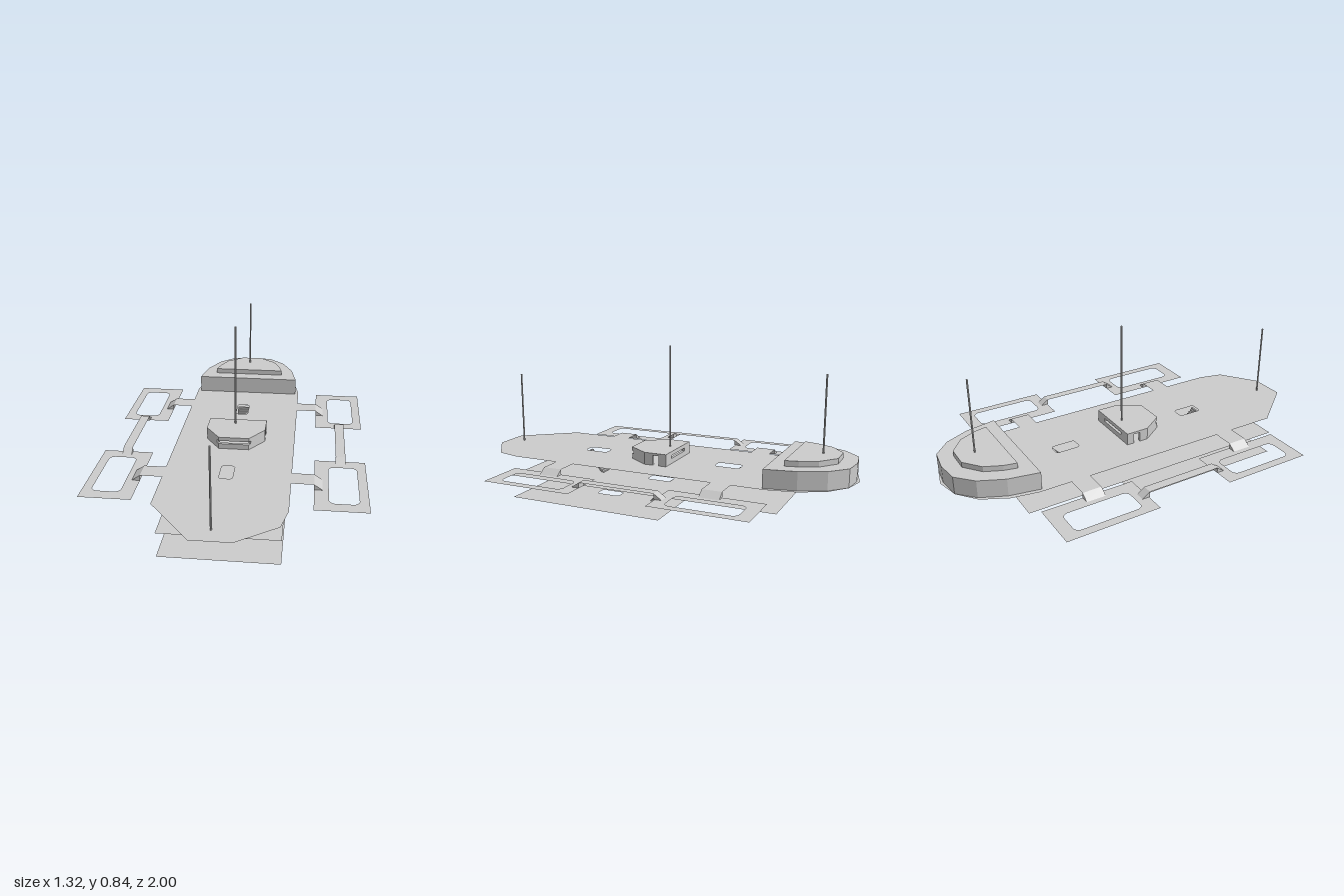
import * as THREE from 'three';

const DECK = 0.247, MID = 0.13, LOW = 0.007, PAD = 0.22;

export function createModel() {
  const model = new THREE.Group();
  const mat = new THREE.MeshStandardMaterial({ color: 0xcccccc, flatShading: true, side: THREE.DoubleSide });

  const add = (name, geo, x = 0, y = 0, z = 0, turn = 0) => {
    const mesh = new THREE.Mesh(geo, mat);
    mesh.name = name;
    mesh.position.set(x, y, z);
    mesh.rotation.y = turn;
    model.add(mesh);
    return mesh;
  };

  // Outlines are given as [x, z] points
  const outline = pts => new THREE.Shape(pts.map(([x, z]) => new THREE.Vector2(x, -z)));
  const rect = (x0, x1, z0, z1) => [[x0, z0], [x1, z0], [x1, z1], [x0, z1]];
  const mirrored = half => [...half, ...half.filter(p => p[0] !== 0).map(([x, z]) => [-x, z]).reverse()];

  const roundHole = (x0, x1, z0, z1, r) => {
    const p = new THREE.Path();
    p.absarc(x1 - r, -z0 - r, r, 0, Math.PI / 2);
    p.absarc(x0 + r, -z0 - r, r, Math.PI / 2, Math.PI);
    p.absarc(x0 + r, -z1 + r, r, Math.PI, Math.PI * 1.5);
    p.absarc(x1 - r, -z1 + r, r, Math.PI * 1.5, Math.PI * 2);
    p.closePath();
    return p;
  };
  const hatch = (z0, z1) => roundHole(-0.037, 0.028, z0, z1, 0.015);

  // Thin horizontal plate with optional holes
  const plate = (name, pts, y, holes = []) => {
    const s = outline(pts);
    s.holes.push(...holes);
    return add(name, new THREE.ShapeGeometry(s, 4).rotateX(-Math.PI / 2), 0, y, 0);
  };
  // Upright block with the given plan
  const block = (name, pts, y0, y1) => add(name,
    new THREE.ExtrudeGeometry(outline(pts), { depth: y1 - y0, bevelEnabled: false }).rotateX(-Math.PI / 2), 0, y0, 0);

  // Three decks with stair hatches
  plate('mainDeck', [
    [-0.095, 1], [0.09, 1], [0.275, 0.865], [0.305, 0.738], [0.305, -0.63], [0.28, -0.765],
    [0.217, -0.89], [0.12, -0.97], [0, -1], [-0.12, -0.97], [-0.217, -0.89], [-0.28, -0.765],
    [-0.305, -0.63], [-0.305, 0.738],
  ], DECK, [hatch(-0.41, -0.28), hatch(0.35, 0.477)]);
  plate('middleDeck', rect(-0.28, 0.28, -0.68, 0.79), MID, [hatch(-0.03, 0.1)]);
  plate('lowerDeck', rect(-0.28, 0.28, -0.08, 0.79), LOW, [hatch(0.28, 0.41)]);

  // Stairs: thin stepped strip, descending towards +z or -z
  const stairs = (name, zTop, yTop, dir, run = 0.107, drop = 0.115, n = 12) => {
    const s = new THREE.Shape();
    const du = run / n, dy = drop / n;
    s.moveTo(0, drop);
    for (let i = 0; i < n; i++) {
      s.lineTo((i + 1) * du, drop - i * dy);
      s.lineTo((i + 1) * du, drop - (i + 1) * dy);
    }
    s.lineTo(run - du, 0);
    s.lineTo(0, drop - dy);
    const geo = new THREE.ExtrudeGeometry(s, { depth: 0.062, bevelEnabled: false }).translate(0, 0, -0.031);
    add(name, geo, -0.005, yTop - drop, zTop, -dir * Math.PI / 2);
  };
  stairs('frontStairs', 0.475, 0.238, -1);
  stairs('rearStairs', -0.406, 0.238, 1);
  stairs('lowerStairs', -0.025, 0.121, 1, 0.11, 0.121);

  // Stern superstructure in two tiers
  block('sternHouse', mirrored([
    [0.287, -0.61], [0.258, -0.765], [0.2, -0.89], [0.115, -0.97], [0, -0.985],
  ]), DECK, 0.338);
  block('sternRoof', mirrored([[0.198, -0.685], [0.183, -0.75], [0.145, -0.835], [0.058, -0.905]]), 0.338, 0.365);

  // Hollow bridge: back and front walls leave side doorways, with slit windows
  const backWall = mirrored([[0.152, -0.025], [0.152, -0.065], [-0.152, -0.065]].slice(0, 2))
    .concat([[-0.137, -0.025], [-0.137, -0.05], [0.137, -0.05], [0.137, -0.025]]);
  const frontWall = [
    [0.152, 0.01], [0.152, 0.055], [0.077, 0.165], [-0.077, 0.165], [-0.152, 0.055], [-0.152, 0.01],
    [-0.137, 0.01], [-0.137, 0.05], [-0.069, 0.15], [0.069, 0.15], [0.137, 0.05], [0.137, 0.01],
  ];
  for (const [y0, y1] of [[DECK, 0.274], [0.29, 0.298]]) {
    block('bridgeBackWall', backWall, y0, y1);
    block('bridgeFrontWall', frontWall, y0, y1);
  }
  for (const s of [1, -1]) {
    const side = pts => pts.map(([x, z]) => [x * s, z]);
    block('bridgeFrontPillar', side([
      [0.152, 0.01], [0.152, 0.055], [0.086, 0.152], [0.074, 0.143], [0.137, 0.05], [0.137, 0.01],
    ]), 0.274, 0.29);
    block('bridgeBackPillar', side([
      [0.152, -0.025], [0.152, -0.065], [0.086, -0.065], [0.086, -0.05], [0.137, -0.05], [0.137, -0.025],
    ]), 0.274, 0.29);
  }
  block('bridgeRoof', mirrored([[0.152, -0.065], [0.152, 0.055], [0.077, 0.165]]), 0.298, 0.31);

  // Masts
  for (const [name, x, z, y0, y1] of [
    ['bowMast', -0.01, 0.915, DECK, 0.635],
    ['bridgeMast', -0.01, -0.015, 0.31, 0.84],
    ['sternMast', -0.006, -0.82, 0.365, 0.745],
  ]) add(name, new THREE.CylinderGeometry(0.0045, 0.0045, y1 - y0, 8), x, (y0 + y1) / 2, z);

  // Wedge ramp going down along its own +x
  const ramp = (name, width, x, z, turn) => {
    const s = new THREE.Shape([[0, 0], [0.04, 0], [0, DECK - PAD]].map(p => new THREE.Vector2(...p)));
    const geo = new THREE.ExtrudeGeometry(s, { depth: width, bevelEnabled: false }).translate(0, 0, -width / 2);
    add(name, geo, x, PAD, z, turn);
  };

  // Outrigger frames, their arms, and the walkways joining them
  for (const s of [1, -1]) {
    const span = (a, b) => (s > 0 ? [a, b] : [-b, -a]);
    for (const [z0, z1, arm] of [[-0.675, -0.2, -0.415], [0.195, 0.67, 0.44]]) {
      plate('outriggerFrame', rect(...span(0.412, 0.662), z0, z1), PAD,
        [roundHole(...span(0.48, 0.618), z0 + 0.067, z1 - 0.065, 0.03)]);
      plate('outriggerArm', rect(...span(0.305, 0.412), arm - 0.05, arm + 0.05), DECK);
      ramp('armRamp', 0.1, s * 0.412, arm, s > 0 ? 0 : Math.PI);
    }
    plate('sideWalkway', rect(...span(0.516, 0.564), -0.195, 0.195), DECK);
    ramp('walkwayRamp', 0.048, s * 0.54, 0.195, -Math.PI / 2);
    ramp('walkwayRamp', 0.048, s * 0.54, -0.195, Math.PI / 2);
  }
  return model;
}
